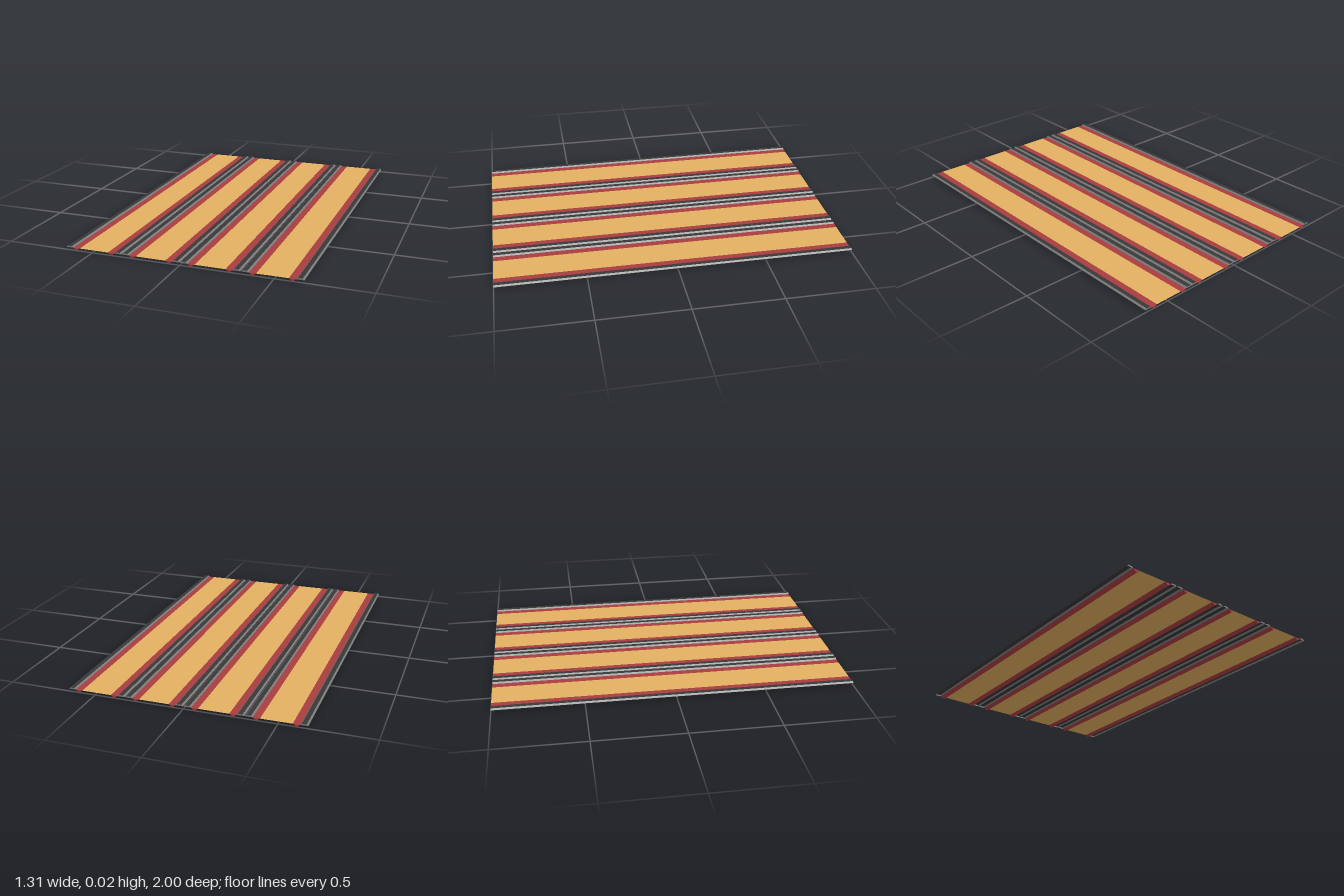
import * as THREE from 'three';

const LENGTH = 2, PITCH = 0.3274, BAYS = 4;
const BASE = 0.014, CREST = 0.022;

const flat = (name, color) =>
  new THREE.MeshStandardMaterial({ name, color, side: THREE.DoubleSide });

// Folded sheet: a profile of [x, y] points swept along z, one flat face per fold
function sheet(profile) {
  const h = LENGTH / 2, pos = [];
  for (let i = 0; i < profile.length - 1; i++) {
    const [ax, ay] = profile[i], [bx, by] = profile[i + 1];
    pos.push(ax, ay, h, bx, by, h, bx, by, -h, ax, ay, h, bx, by, -h, ax, ay, -h);
  }
  const g = new THREE.BufferGeometry();
  g.setAttribute('position', new THREE.Float32BufferAttribute(pos, 3));
  g.computeVertexNormals();
  return g;
}

export function createModel() {
  const gold = flat('gold', 0xe2b060);
  const red = flat('red', 0xa83c40);
  const charcoal = flat('charcoal', 0x383838);
  const grey = flat('grey', 0x7c7c7c);

  const model = new THREE.Group();
  model.name = 'corrugatedPanel';

  // Cross-sections, measured from the outer edge of a bay
  const seam = [[0, BASE], [0.002, BASE]];
  const ribOuter = [[0.002, BASE], [0.010, CREST]];
  const ribTop = [[0.010, CREST], [0.034, CREST]];
  const ribInner = [[0.034, CREST], [0.042, BASE]];
  const groove = [[0.042, BASE], [0.080, BASE], [0.061, 0], [0.042, BASE]];
  const pan = [[0.080, BASE], [PITCH - 0.080, BASE]];

  const add = (parent, name, geometry, material) => {
    const mesh = new THREE.Mesh(geometry, material);
    mesh.name = name;
    parent.add(mesh);
    return mesh;
  };

  // Flat plates closing a section at both ends of the panel
  const addEnds = (parent, name, profile, material) => {
    const shape = new THREE.Shape(profile.map(([x, y]) => new THREE.Vector2(x, y)));
    for (const end of [1, -1]) {
      add(parent, name, new THREE.ShapeGeometry(shape), material).position.z = end * LENGTH / 2;
    }
  };

  for (let i = 0; i < BAYS; i++) {
    const bay = new THREE.Group();
    bay.name = 'bay' + (i + 1);
    bay.position.x = (i - BAYS / 2) * PITCH;
    add(bay, 'pan', sheet(pan), gold);

    // Seam, raised rib and groove on each side of the pan
    for (const mirrored of [false, true]) {
      const place = (p) => (mirrored ? p.map(([x, y]) => [PITCH - x, y]).reverse() : p);
      add(bay, 'seam', sheet(place(seam)), charcoal);
      add(bay, 'ribOuterSide', sheet(place(ribOuter)), grey);
      add(bay, 'ribTop', sheet(place(ribTop)), charcoal);
      add(bay, 'ribInnerSide', sheet(place(ribInner)), grey);
      addEnds(bay, 'ribEnd', place([...ribOuter, ...ribInner]), grey);
      add(bay, 'groove', sheet(place(groove)), red);
      addEnds(bay, 'grooveEnd', place(groove), red);
    }
    model.add(bay);
  }
  return model;
}
